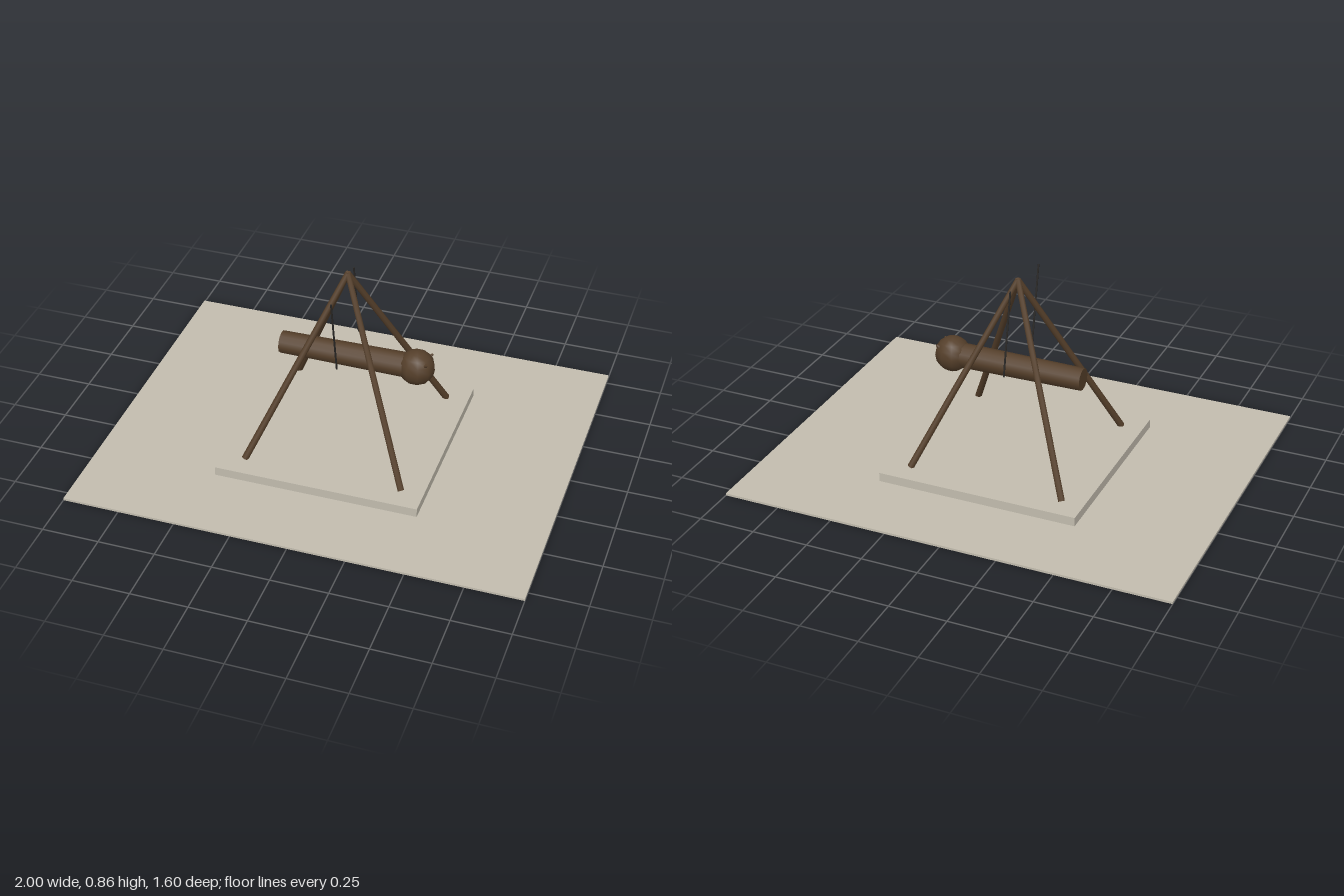
import * as THREE from 'three';

export function createModel() {
  const model = new THREE.Group();
  const paint = (name, color) => {
    const material = new THREE.MeshStandardMaterial({ color });
    material.name = name;
    return material;
  };
  const stone = paint('stone', 0xc2bcae);
  const earth = paint('darkEarth', 0x55504a);
  const wood = paint('wood', 0x553f2a);
  const cord = paint('cord', 0x2a2826);

  const add = (name, geometry, material, x = 0, y = 0, z = 0) => {
    const mesh = new THREE.Mesh(geometry, material);
    mesh.name = name;
    mesh.position.set(x, y, z);
    model.add(mesh);
    return mesh;
  };

  // Round bar between two points
  const bar = (name, from, to, r0, r1, sides, material) => {
    const a = new THREE.Vector3(...from), b = new THREE.Vector3(...to);
    const dir = b.clone().sub(a);
    const mesh = add(name, new THREE.CylinderGeometry(r1, r0, dir.length(), sides), material);
    mesh.position.copy(a).add(b).multiplyScalar(0.5);
    mesh.quaternion.setFromUnitVectors(new THREE.Vector3(0, 1, 0), dir.normalize());
  };

  // Ground slab with a dark underside, and raised platform
  add('ground', new THREE.BoxGeometry(2, 0.01, 1.6),
    [stone, stone, stone, earth, stone, stone], 0, 0.005, 0);
  add('platform', new THREE.BoxGeometry(0.9, 0.04, 0.9), stone, 0, 0.03, 0);

  // Four poles meeting at the apex
  for (const sx of [-1, 1]) {
    for (const sz of [-1, 1]) {
      bar('pole', [sx * 0.35, 0.05, sz * 0.35], [0, 0.85, 0], 0.015, 0.013, 8, wood);
    }
  }

  // Hanging ram: log, rounded head and two small horns
  bar('log', [-0.3, 0.442, 0], [0.3, 0.442, 0], 0.049, 0.055, 12, wood);
  const head = add('ramHead', new THREE.SphereGeometry(0.08, 10, 8), wood, 0.307, 0.442, 0);
  head.scale.z = 0.95;
  for (const s of [-1, 1]) {
    bar('horn', [0.335, 0.465, s * 0.03], [0.365, 0.49, s * 0.044], 0.014, 0.005, 6, wood);
  }

  // Two slanting ropes
  for (const z of [0.185, -0.115]) {
    bar('rope', [0, 0.463, z - 0.035], [0, 0.83, z + 0.035], 0.004, 0.004, 6, cord);
  }
  return model;
}
